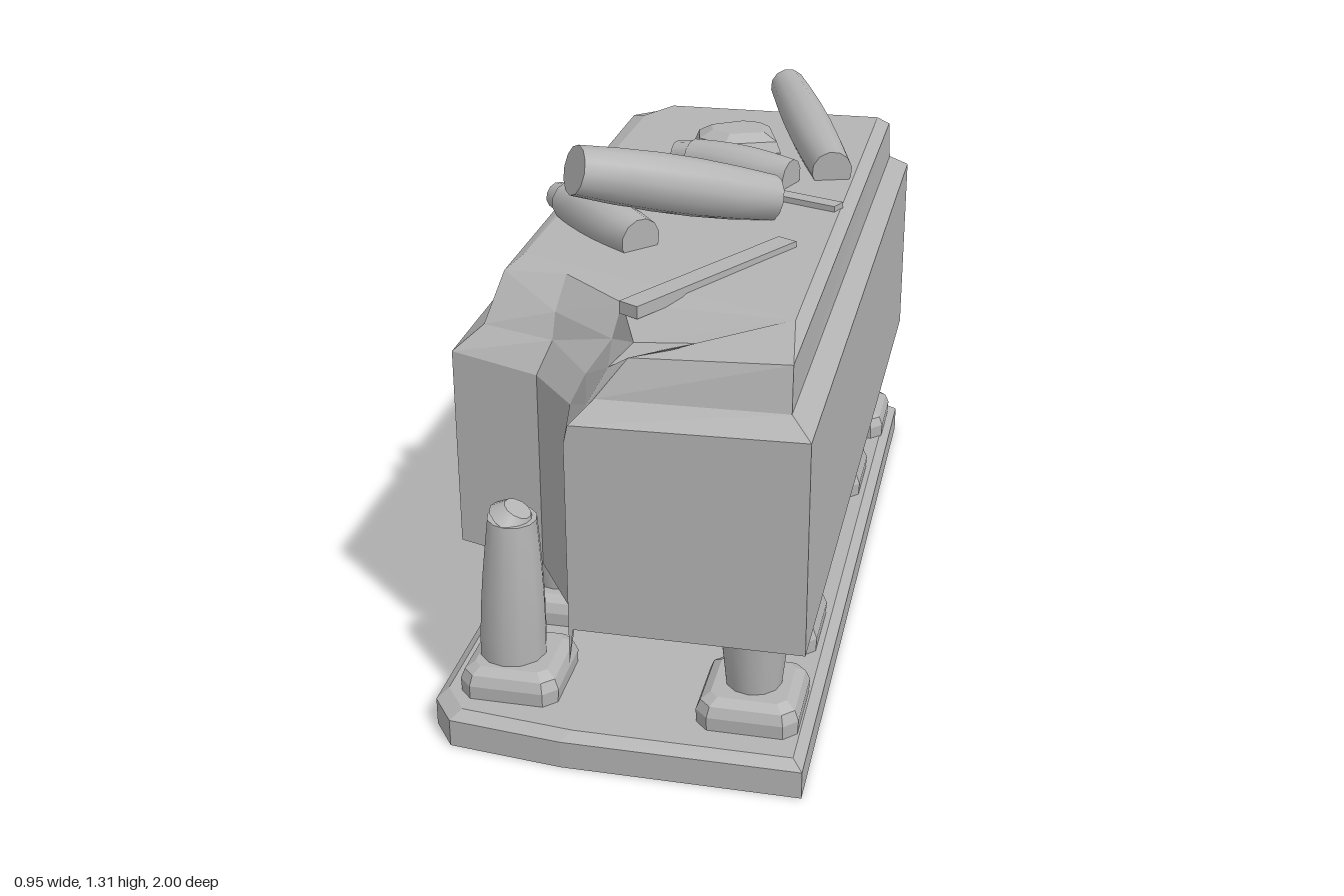
import * as THREE from 'three';
import { toCreasedNormals } from 'three/addons/utils/BufferGeometryUtils.js';

const stone = new THREE.MeshStandardMaterial({ color: 0xb4b4b4 });
stone.name = 'weatheredStone';
stone.side = THREE.DoubleSide;

export function createModel() {
  const model = new THREE.Group();
  model.name = 'ruinedTomb';

  const add = (name, geometry) => {
    const mesh = new THREE.Mesh(geometry, stone);
    mesh.name = name;
    model.add(mesh);
    return mesh;
  };

  // Skins rings of [x, y, z] points, counter-clockwise from above, and caps the top
  const loft = (rings, skip = () => false) => {
    const out = [];
    const tri = (a, b, c) => out.push(...a, ...b, ...c);
    const n = rings[0].length;
    for (let k = 0; k < rings.length - 1; k++) {
      for (let i = 0; i < n; i++) {
        if (skip(k, i)) continue;
        const j = (i + 1) % n;
        tri(rings[k][i], rings[k][j], rings[k + 1][j]);
        tri(rings[k][i], rings[k + 1][j], rings[k + 1][i]);
      }
    }
    const top = rings[rings.length - 1];
    const flat = top.map(p => new THREE.Vector2(p[0], -p[2]));
    for (const [a, b, c] of THREE.ShapeUtils.triangulateShape(flat, [])) tri(top[a], top[b], top[c]);
    const g = new THREE.BufferGeometry();
    g.setAttribute('position', new THREE.Float32BufferAttribute(out, 3));
    g.computeVertexNormals();
    return g;
  };

  // Base slab: chamfered and open underneath, with chipped corners
  const foot = [[0.47, 1], [0.47, -1], [-0.39, -1], [-0.44, -0.92], [-0.44, 0.89], [-0.38, 0.97], [-0.1, 1]];
  const baseRing = (y, inset) => foot.map(([x, z]) => [x - Math.sign(x) * inset, y, z - Math.sign(z) * inset]);
  add('baseSlab', loft([baseRing(0, 0), baseRing(0.07, 0), baseRing(0.09, 0.025)]));

  // Chest: hollow walls, sloped shoulder and raised lid, with one front corner broken away
  const wall = [[0.47, 1], [0.47, -1], [-0.36, -1], [-0.45, -0.9], [-0.45, 0.62],
    [-0.23, 0.66], [-0.11, 0.8], [-0.07, 1], [-0.06, 1]];
  const wallRing = ys => wall.map(([x, z], i) => [x, ys[i], z]);
  add('chest', loft([
    wallRing([0.38, 0.38, 0.38, 0.38, 0.36, 0.34, 0.285, 0.29, 0.38]),
    wallRing([0.9, 0.9, 0.9, 0.9, 0.87, 0.845, 0.845, 0.845, 0.89]),
    [[0.42, 0.94, 0.95], [0.42, 0.94, -0.94], [-0.3, 0.94, -0.94], [-0.37, 0.94, -0.87], [-0.38, 0.93, 0.58],
      [-0.2, 0.92, 0.62], [-0.08, 0.91, 0.77], [-0.03, 0.92, 0.95], [-0.01, 0.94, 0.96]],
    [[0.418, 1.045, 0.93], [0.415, 1.045, -0.93], [-0.29, 1.045, -0.93], [-0.36, 1.045, -0.86], [-0.35, 1.04, 0.5],
      [-0.2, 0.98, 0.59], [-0.03, 0.98, 0.72], [0.01, 0.995, 0.91], [0.06, 1.03, 0.93]],
    [[0.39, 1.065, 0.73], [0.38, 1.065, -0.92], [-0.25, 1.065, -0.92], [-0.31, 1.065, -0.8], [-0.32, 1.06, 0.43],
      [-0.19, 1.05, 0.52], [-0.02, 1.045, 0.66], [0.06, 1.045, 0.88], [0.2, 1.055, 0.88]],
  ], (k, i) => k === 0 && i === 2));

  // Thin loose plates standing inside the chest: [x, z, end x, end z]
  for (const [x, z, ex, ez] of [[-0.472, 0.12, -0.36, 0.31], [-0.472, -0.24, -0.36, -0.05], [0.39, 0.12, 0.415, 0.25]]) {
    const plate = add('loosePlate', new THREE.BoxGeometry(Math.hypot(ex - x, ez - z), 0.53, 0.008));
    plate.position.set((x + ex) / 2, 0.545, (z + ez) / 2);
    plate.rotation.y = -Math.atan2(ez - z, ex - x);
  }

  // A round, swollen shaft running from a to b
  const up = new THREE.Vector3(0, 1, 0);
  const shaft = (name, a, b, r0, r1, bulge) => {
    const from = new THREE.Vector3(...a), dir = new THREE.Vector3(...b).sub(from);
    const len = dir.length();
    const points = [new THREE.Vector2(0, 0)];
    for (let i = 0; i <= 5; i++) {
      const t = i / 5;
      points.push(new THREE.Vector2((r0 + (r1 - r0) * t) * (1 + bulge * Math.sin(Math.PI * t)), len * t));
    }
    points.push(new THREE.Vector2(0, len));
    const mesh = add(name, toCreasedNormals(new THREE.LatheGeometry(points, 12), 0.7));
    mesh.position.copy(from);
    mesh.quaternion.setFromUnitVectors(up, dir.normalize());
  };

  // Square, bevelled plinth under each leg
  const plinth = (x, z) => {
    const ring = (y, s, c) => [[s, c], [s, -c], [c, -s], [-c, -s], [-s, -c], [-s, c], [-c, s], [c, s]]
      .map(([px, pz]) => [x + px, y, z + pz]);
    add('plinth', loft([ring(0.088, 0.12, 0.09), ring(0.125, 0.122, 0.09), ring(0.15, 0.112, 0.085), ring(0.165, 0.09, 0.07)]));
  };

  // Legs, reaching up inside the chest: [x, z, top x, top z]
  const legs = [
    [0.32, 0.79, 0.32, 0.785], [0.31, 0.43, 0.295, 0.47], [0.28, 0, 0.09, -0.08],
    [0.31, -0.43, 0.25, -0.43], [0.33, -0.84, 0.33, -0.84],
    [-0.26, 0.42, -0.26, 0.45], [-0.27, -0.43, -0.26, -0.43], [-0.29, -0.84, -0.3, -0.84],
  ];
  for (const [x, z, tx, tz] of legs) {
    plinth(x, z);
    shaft('leg', [x, 0.15, z], [tx, 0.85, tz], 0.066, 0.09, 0.25);
  }

  // The exposed corner leg is a free stump with a worn tip
  plinth(-0.26, 0.78);
  shaft('brokenLeg', [-0.275, 0.15, 0.78], [-0.265, 0.53, 0.78], 0.082, 0.06, 0.08);
  shaft('brokenLegTip', [-0.265, 0.525, 0.78], [-0.25, 0.553, 0.78], 0.06, 0.035, 0);

  // Fallen shafts lying on the base
  shaft('fallenShaft', [-0.08, 0.165, -0.62], [0.22, 0.15, -0.7], 0.055, 0.055, 0.18);
  shaft('fallenShaft', [-0.14, 0.135, 0.04], [-0.14, 0.125, -0.36], 0.06, 0.035, 0.05);

  // Fallen shafts lying on the lid
  shaft('lidShaft', [0.1, 1.14, -0.95], [0.33, 1.09, -0.28], 0.052, 0.055, 0.2);
  shaft('lidShaft', [-0.21, 1.255, 0.36], [0.22, 1.11, 0.04], 0.062, 0.06, 0.22);
  shaft('lidShaft', [-0.29, 1.1, 0.13], [-0.05, 1.085, 0.35], 0.052, 0.055, 0.22);
  shaft('lidShaft', [-0.06, 1.095, -0.31], [0.23, 1.085, -0.21], 0.052, 0.052, 0.2);
  shaft('shaftTip', [-0.11, 1.1, -0.32], [-0.05, 1.1, -0.305], 0.035, 0.045, 0);
  shaft('shaftTip', [-0.33, 1.1, 0.1], [-0.28, 1.1, 0.14], 0.035, 0.045, 0);

  // Squat chunk on the lid
  const chunk = [[0.17, -0.4], [0.12, -0.56], [0.04, -0.57], [-0.09, -0.48], [-0.07, -0.39], [0.02, -0.34]];
  const chunkRing = (y, s) => chunk.map(([x, z]) => [0.04 + (x - 0.04) * s, y, -0.46 + (z + 0.46) * s]);
  add('chunk', loft([chunkRing(1.06, 0.9), chunkRing(1.095, 1), chunkRing(1.125, 0.9), chunkRing(1.145, 0.6)]));

  // Flat slivers on the lid: [x, z, length, width, turn]
  for (const [x, z, len, w, turn] of [[0.19, -0.11, 0.41, 0.045, -0.37], [0.155, 0.5, 0.57, 0.055, 1.06]]) {
    const sliver = add('sliver', new THREE.BoxGeometry(len, 0.03, w));
    sliver.position.set(x, 1.065, z);
    sliver.rotation.y = turn;
  }

  return model;
}
